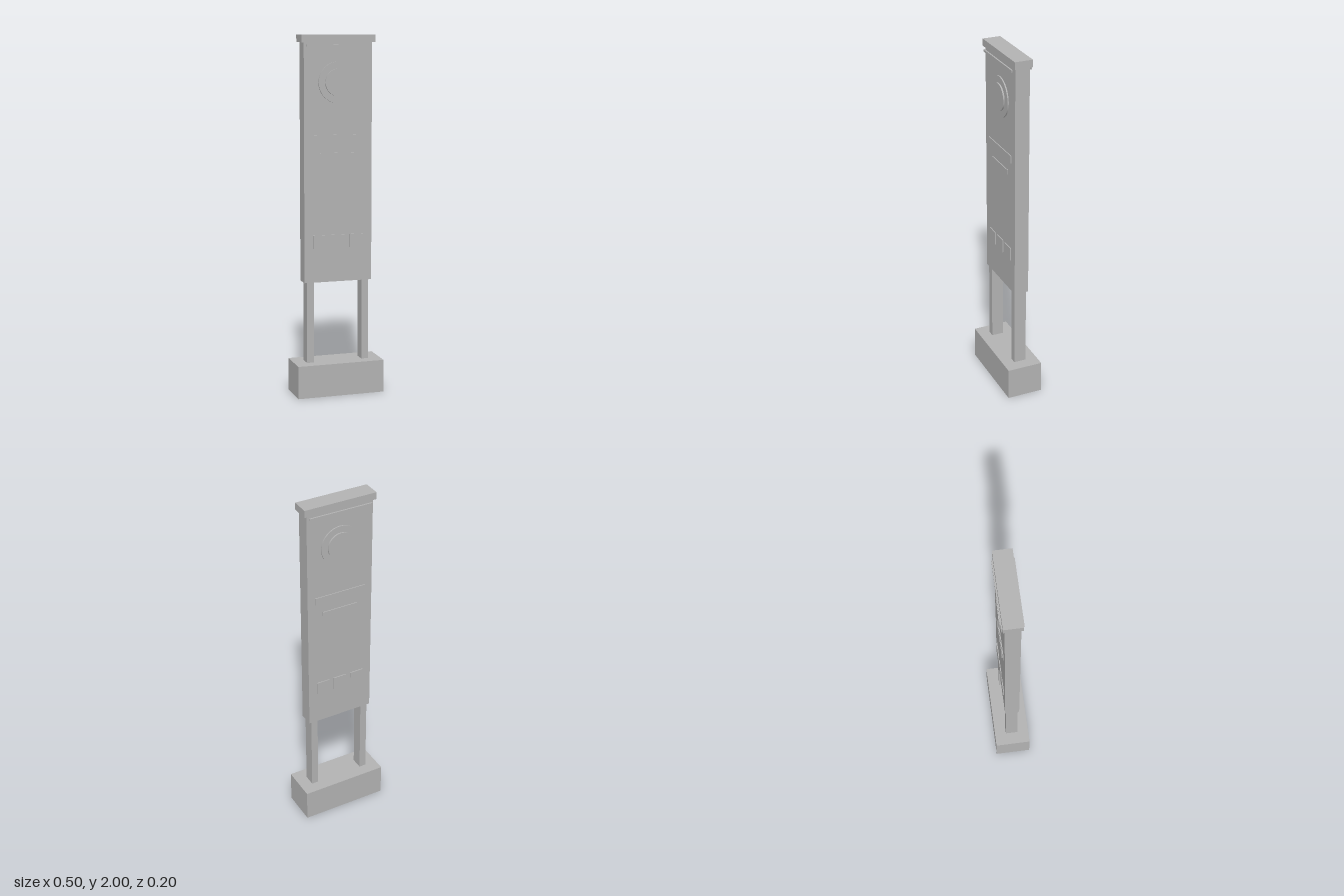
import * as THREE from 'three';

export function createModel() {
  const model = new THREE.Group();
  model.name = 'signPylon';
  const grey = new THREE.MeshStandardMaterial({ color: 0xb3b3b3 });
  grey.name = 'grey';

  const add = (parent, name, geometry, x, y, z) => {
    const mesh = new THREE.Mesh(geometry, grey);
    mesh.name = name;
    mesh.position.set(x, y, z);
    parent.add(mesh);
  };
  // box centred on x, from y0 to y1 and z0 to z1
  const box = (parent, name, width, x, y0, y1, z0, z1) =>
    add(parent, name, new THREE.BoxGeometry(width, y1 - y0, z1 - z0), x, (y0 + y1) / 2, (z0 + z1) / 2);
  // round plate facing +z
  const disc = (parent, name, radius, y, z0, z1) =>
    add(parent, name, new THREE.CylinderGeometry(radius, radius, z1 - z0, 48).rotateX(Math.PI / 2), 0, y, (z0 + z1) / 2);

  // structure
  box(model, 'base', 0.5, 0, 0, 0.184, -0.102, 0.102);
  for (const side of [-1, 1]) box(model, 'post', 0.04, side * 0.16, 0.184, 0.64, -0.035, 0.035);
  box(model, 'panel', 0.39, 0, 0.64, 1.96, -0.041, 0.041);
  box(model, 'cap', 0.42, 0, 1.96, 2, -0.051, 0.051);

  // the same fittings on front and back
  for (const name of ['frontFittings', 'backFittings']) {
    const face = new THREE.Group();
    face.name = name;
    if (name === 'backFittings') face.rotation.y = Math.PI;
    box(face, 'lightStrip', 0.364, 0, 1.937, 1.949, 0.05, 0.058);
    disc(face, 'roundPlate', 0.113, 1.743, 0.04, 0.048);
    disc(face, 'roundBoss', 0.076, 1.743, 0.047, 0.056);
    box(face, 'titleBar', 0.3, 0, 1.416, 1.458, 0.04, 0.046);
    box(face, 'subtitleBar', 0.21, 0, 1.334, 1.359, 0.04, 0.046);
    for (const x of [-0.105, 0, 0.105]) box(face, 'squareTile', 0.08, x, 0.83, 0.904, 0.04, 0.046);
    model.add(face);
  }
  return model;
}
